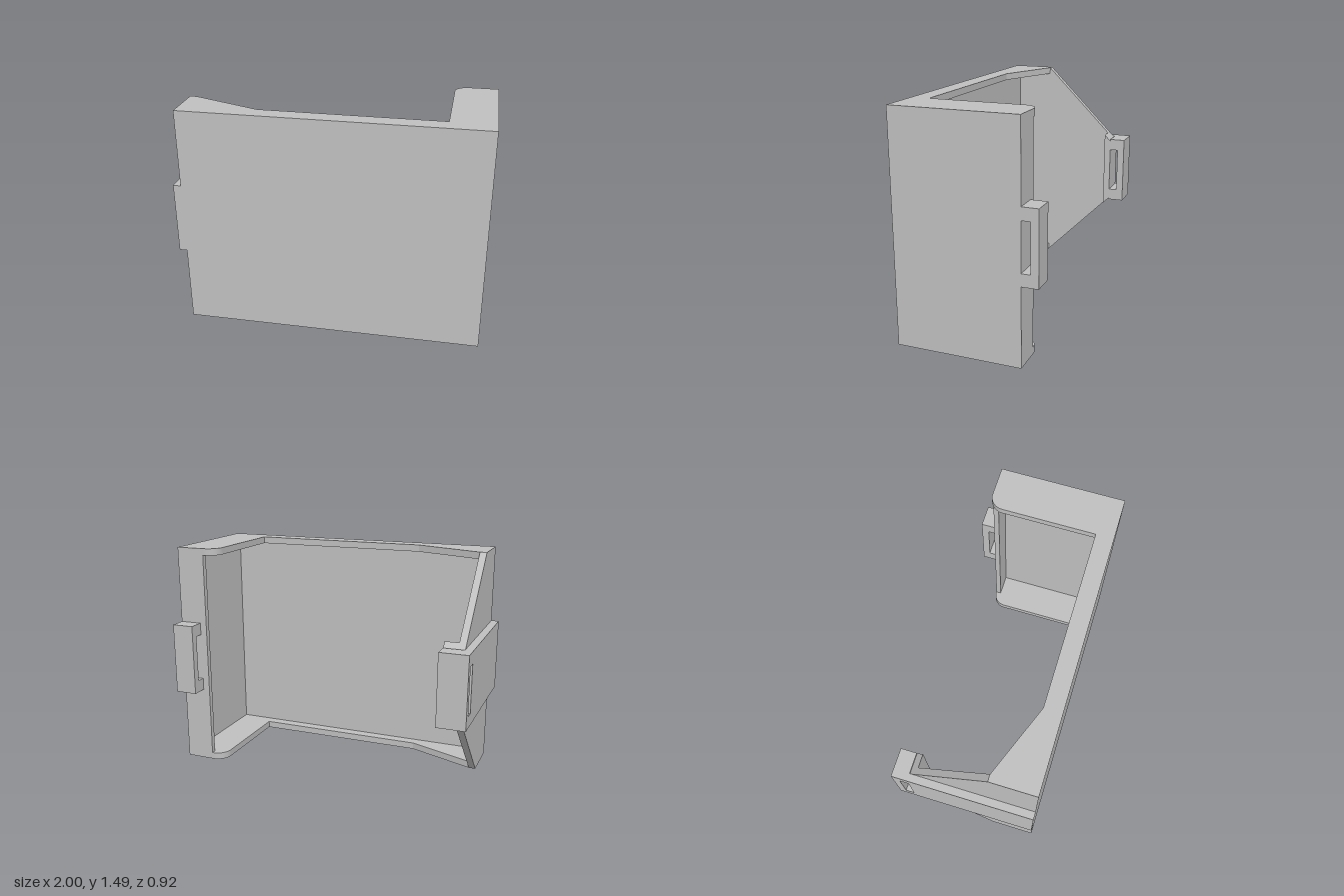
import * as THREE from 'three';

const H = 1.485, T = 0.045, FRONT = 0.457, BACK = -0.355, TAIL = -0.46;

export function createModel() {
  const group = new THREE.Group();
  const grey = new THREE.MeshStandardMaterial({ color: 0xc0c0c0 });
  grey.name = 'plain grey';

  const add = (name, geometry) => {
    const mesh = new THREE.Mesh(geometry, grey);
    mesh.name = name;
    group.add(mesh);
    return mesh;
  };

  // box given by its limits
  const block = (name, x0, x1, y0, y1, z0, z1) => {
    const g = new THREE.BoxGeometry(x1 - x0, y1 - y0, z1 - z0);
    add(name, g.translate((x0 + x1) / 2, (y0 + y1) / 2, (z0 + z1) / 2));
  };

  // side outline of [z, y] points, extruded from x0 to x1
  const sidePlate = (name, points, x0, x1, hole) => {
    const toV = ([z, y]) => new THREE.Vector2(-z, y);
    const shape = new THREE.Shape(points.map(toV));
    if (hole) shape.holes.push(new THREE.Path(hole.map(toV)));
    const g = new THREE.ExtrudeGeometry(shape, { depth: x1 - x0, bevelEnabled: false });
    add(name, g.rotateY(Math.PI / 2).translate(x0, 0, 0));
  };

  // top and bottom flanges, with a rounded rear corner and a sloped gusset
  const flange = new THREE.Shape();
  flange.moveTo(-0.95, -FRONT);
  flange.lineTo(1, -FRONT);
  flange.lineTo(1, -BACK);
  flange.lineTo(0.805, -BACK);
  flange.absarc(0.805, -BACK - 0.09, 0.09, Math.PI / 2, Math.PI, false);
  flange.lineTo(0.715, -0.34);
  flange.lineTo(-0.455, -0.34);
  flange.lineTo(-0.905, -0.165);
  flange.lineTo(-0.95, -0.165);
  flange.closePath();
  for (const [name, y] of [['bottomFlange', 0], ['topFlange', H - T]]) {
    const g = new THREE.ExtrudeGeometry(flange, { depth: T, bevelEnabled: false, curveSegments: 12 });
    add(name, g.rotateX(-Math.PI / 2).translate(0, y, 0));
  }

  // shell walls between the flanges
  block('frontPanel', -0.95, 1, T, H - T, FRONT - T, FRONT);
  block('leftWall', 1 - T, 1, T, H - T, BACK, FRONT - T);
  block('leftRearLip', 0.81, 1 - T, T, H - T, BACK, BACK + 0.035);

  // tapered wall on the other side, narrowing at 45 degrees to the rear
  const taper = (z) => 0.165 - z;
  sidePlate('rightTaperedWall', [
    [FRONT, 0], [0.165, 0], [BACK, taper(BACK)],
    [BACK, H - taper(BACK)], [0.165, H], [FRONT, H],
  ], -0.95, -0.905);
  const lipFront = -0.31;
  sidePlate('rightRearLip', [
    [lipFront, taper(lipFront)], [BACK, taper(BACK)],
    [BACK, H - taper(BACK)], [lipFront, H - taper(lipFront)],
  ], -0.905, -0.815);

  // strap clips: C-shaped loops behind each wall
  const y0 = 0.51, y1 = 0.98, s0 = 0.59, s1 = 0.9, slotBack = -0.412;
  const clip = [
    [BACK, y0], [TAIL, y0], [TAIL, y1], [BACK, y1],
    [BACK, s1], [slotBack, s1], [slotBack, s0], [BACK, s0],
  ];
  sidePlate('leftClip', clip, 0.855, 1);
  sidePlate('rightClip', clip, -0.95, -0.815);

  // raised band along the outside of the tapered wall
  sidePlate('rightBand',
    [[FRONT, y0], [TAIL, y0], [TAIL, y1], [FRONT, y1]], -1, -0.95,
    [[BACK, s0], [BACK, s1], [slotBack, s1], [slotBack, s0]]);

  return group;
}
